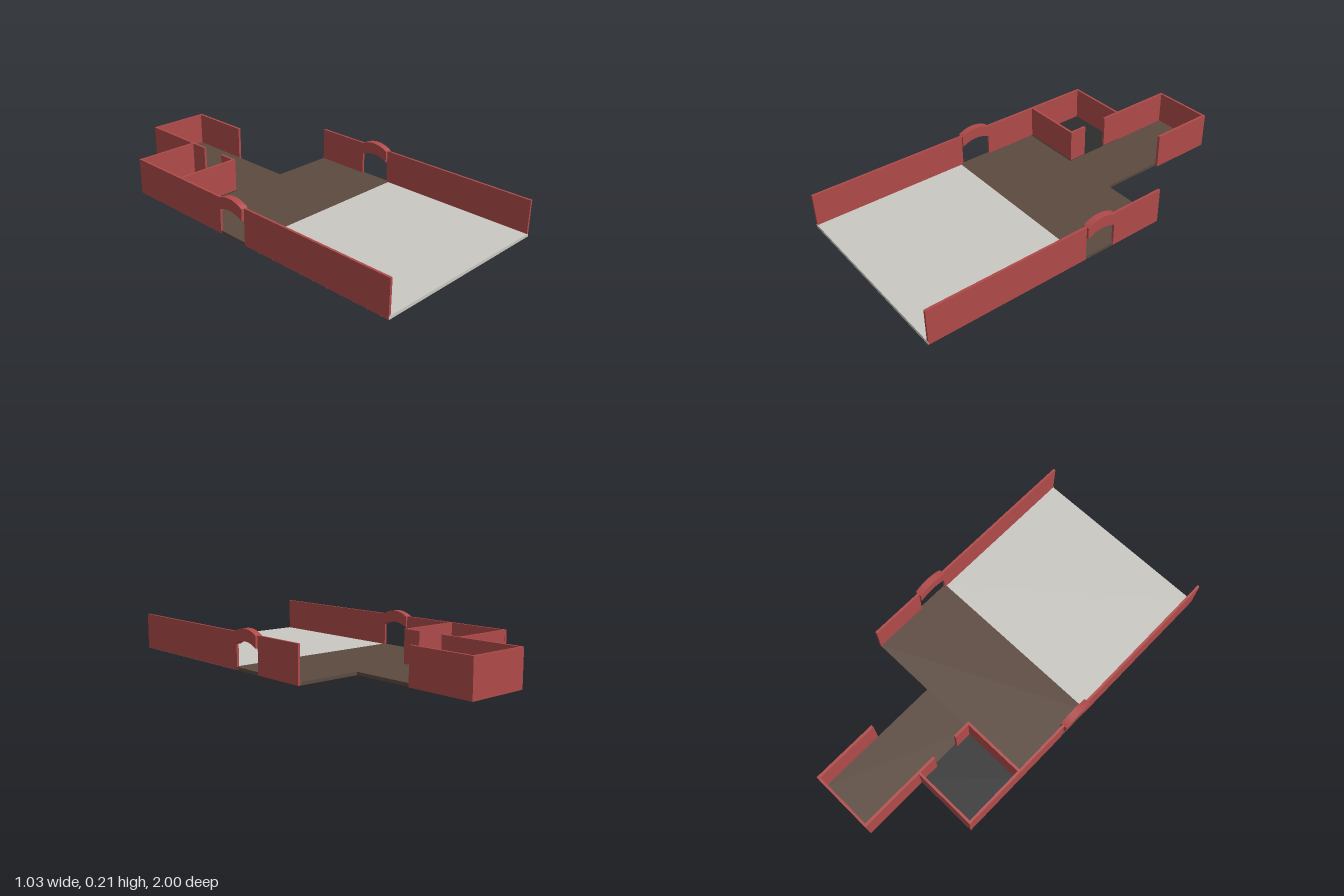
import * as THREE from 'three';

const mat = (name, color) => {
  const m = new THREE.MeshStandardMaterial({ color });
  m.name = name;
  return m;
};

export function createModel() {
  const red = mat('red wall', 0xb04a4a);
  const grey = mat('pale grey floor', 0xcac8c2);
  const brown = mat('brown floor', 0x5c4a3f);
  const dark = mat('charcoal floor', 0x2d2d2d);
  const model = new THREE.Group();
  model.name = 'floorPlan';

  // Box given by its extents along each axis
  const slab = (name, material, x0, x1, y0, y1, z0, z1) => {
    const mesh = new THREE.Mesh(new THREE.BoxGeometry(x1 - x0, y1 - y0, z1 - z0), material);
    mesh.position.set((x0 + x1) / 2, (y0 + y1) / 2, (z0 + z1) / 2);
    mesh.name = name;
    model.add(mesh);
  };
  const floor = (name, material, x0, x1, z0, z1) => slab(name, material, x0, x1, 0, 0.016, z0, z1);
  const wall = (name, x0, x1, z0, z1) => slab(name, red, x0, x1, 0.001, 0.187, z0, z1);

  // Floors
  floor('courtyardFloor', grey, -0.499, 0.499, 0.165, 1);
  floor('hallFloor', brown, -0.499, 0.499, -0.31, 0.165);
  floor('corridorFloor', brown, -0.152, 0.15, -0.999, -0.31);
  floor('sideRoomFloor', dark, -0.499, -0.152, -0.66, -0.31);

  // Outer side walls, broken by the arched doorways
  const doorFront = 0.152, doorBack = -0.017;
  for (const [side, x0, x1, back] of [['right', -0.5, -0.488, -0.66], ['left', 0.488, 0.5, -0.31]]) {
    wall(side + 'FrontWall', x0, x1, doorFront, 0.999);
    wall(side + 'BackWall', x0, x1, back, doorBack);
  }

  // Side room walls
  wall('sideRoomRearWall', -0.488, -0.167, -0.659, -0.647);
  wall('sideRoomFrontWall', -0.488, -0.154, -0.329, -0.316);
  wall('sideRoomDoorWall', -0.167, -0.154, -0.414, -0.329);

  // Corridor walls
  wall('corridorRightWall', -0.167, -0.154, -1, -0.553);
  wall('corridorEndWall', -0.154, 0.151, -1, -0.988);
  wall('corridorLeftWall', 0.151, 0.165, -1, -0.65);

  // Curved lintels over the doorways: arc profile extruded across the wall
  const half = (doorFront - doorBack) / 2, rise = 0.024, depth = 0.06, steps = 12;
  const radius = (half * half + rise * rise) / (2 * rise);
  const sweep = Math.asin(half / radius);
  const arc = (end) => Array.from({ length: steps + 1 }, (_, i) => {
    const a = sweep * (2 * i / steps - 1);
    return new THREE.Vector2(radius * Math.sin(a), end + radius * (Math.cos(a) - Math.cos(sweep)));
  });
  const profile = new THREE.Shape([...arc(0.187 - depth), ...arc(0.187).reverse()]);
  const lintel = new THREE.ExtrudeGeometry(profile, { depth: 0.036, bevelEnabled: false });
  lintel.translate(0, 0, -0.018).rotateY(Math.PI / 2);
  for (const [name, x] of [['rightArch', -0.496], ['leftArch', 0.494]]) {
    const arch = new THREE.Mesh(lintel, red);
    arch.name = name;
    arch.position.set(x, 0, (doorFront + doorBack) / 2);
    model.add(arch);
  }

  return model;
}
